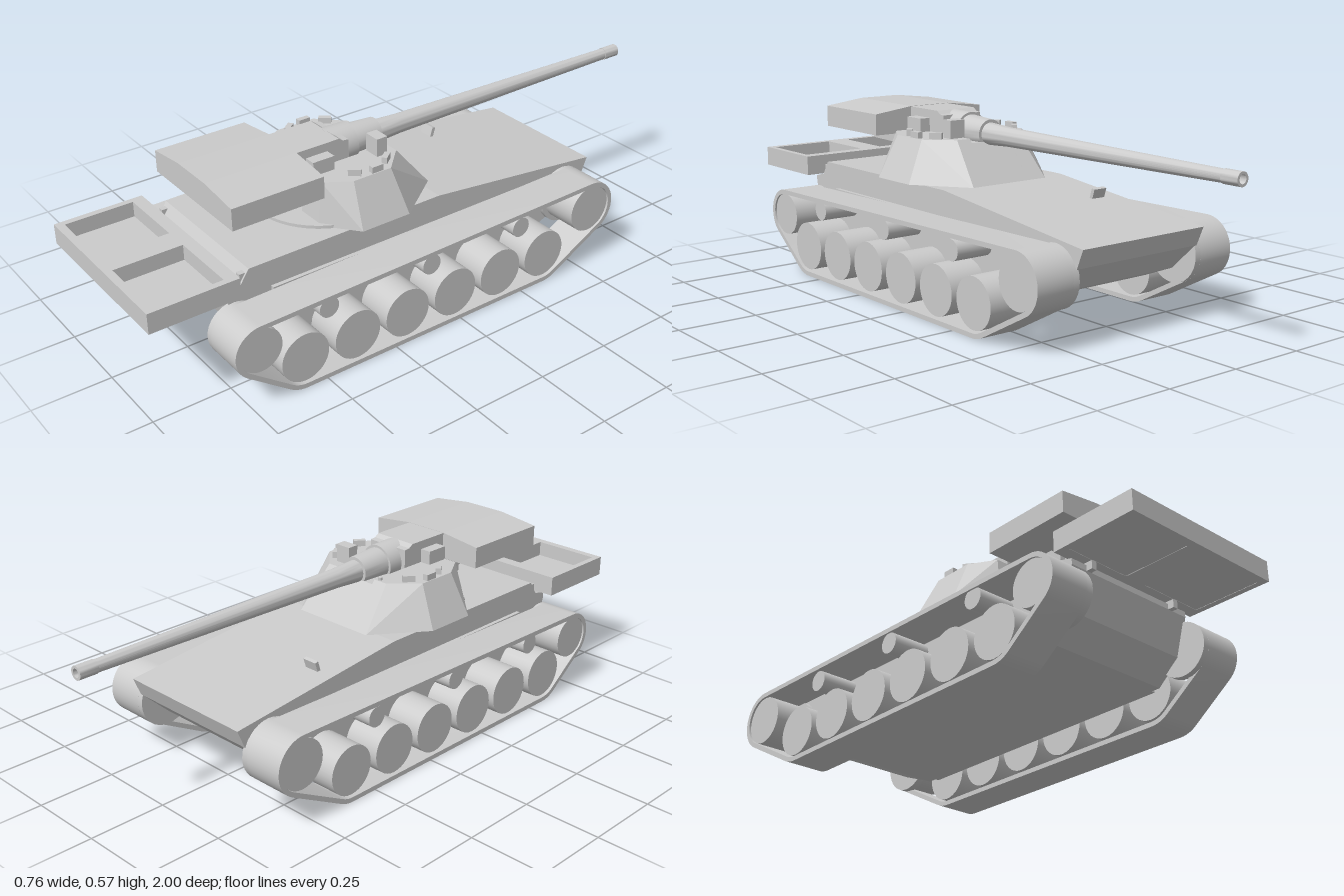
import * as THREE from 'three';
import { toCreasedNormals } from 'three/addons/utils/BufferGeometryUtils.js';
import { ConvexGeometry } from 'three/addons/geometries/ConvexGeometry.js';

const material = new THREE.MeshStandardMaterial({ color: 0xcccccc });

function add(parent, name, geometry, x = 0, y = 0, z = 0) {
  const mesh = new THREE.Mesh(geometry, material);
  mesh.name = name;
  mesh.position.set(x, y, z);
  parent.add(mesh);
  return mesh;
}

const box = (w, h, d) => new THREE.BoxGeometry(w, h, d);
const toVectors = (pts) => pts.map(([a, b]) => new THREE.Vector2(a, b));

// Extrudes a side profile of [z, y] points across x0..x1
function acrossX(shape, x0, x1) {
  const g = new THREE.ExtrudeGeometry(shape, { depth: x1 - x0, bevelEnabled: false });
  return g.rotateY(-Math.PI / 2).translate(x1, 0, 0);
}
const sideProfile = (pts, x0, x1) => acrossX(new THREE.Shape(toVectors(pts)), x0, x1);

// Cylinder lying along x
const disc = (r, width, n = 32) => new THREE.CylinderGeometry(r, r, width, n).rotateZ(Math.PI / 2);

// Solid between a bottom ring and a top ring of [x, z] points
function frustum(bottom, y0, top, y1, side = 1) {
  return new ConvexGeometry([
    ...bottom.map(([x, z]) => new THREE.Vector3(x * side, y0, z)),
    ...top.map(([x, z]) => new THREE.Vector3(x * side, y1, z)),
  ]);
}

// Outline of a belt wrapped round circles [z, y, r] listed counterclockwise
function beltOutline(circles, inset) {
  const n = circles.length;
  const leave = circles.map(([z, y, r], i) => {
    const [z2, y2, r2] = circles[(i + 1) % n];
    const d = Math.hypot(z2 - z, y2 - y);
    return Math.atan2(y2 - y, z2 - z) - Math.acos((r - r2) / d);
  });
  const pts = [];
  circles.forEach(([z, y, r], i) => {
    const a0 = leave[(i + n - 1) % n];
    let sweep = (leave[i] - a0) % (2 * Math.PI);
    if (sweep < 0) sweep += 2 * Math.PI;
    const steps = Math.max(3, Math.ceil(sweep / 0.13));
    for (let k = 0; k <= steps; k++) {
      const a = a0 + (sweep * k) / steps;
      pts.push(new THREE.Vector2(z + (r - inset) * Math.cos(a), y + (r - inset) * Math.sin(a)));
    }
  });
  return pts;
}

function buildRunningGear(side) {
  const gear = new THREE.Group();
  gear.name = side > 0 ? 'leftRunningGear' : 'rightRunningGear';
  const circles = [[-0.345, 0.1, 0.1], [0.57, 0.1, 0.1], [0.715, 0.19, 0.085], [-0.54, 0.2, 0.095]];
  const shape = new THREE.Shape(beltOutline(circles, 0));
  shape.holes.push(new THREE.Path(beltOutline(circles, 0.015)));
  const [x0, x1] = side > 0 ? [0.25, 0.38] : [-0.38, -0.25];
  add(gear, 'track', toCreasedNormals(acrossX(shape, x0, x1), 0.5));

  const x = side * 0.312;
  for (let i = 0; i < 6; i++) add(gear, 'roadWheel', disc(0.08, 0.124), x, 0.102, 0.57 - i * 0.183);
  for (const z of [0.485, 0.115, -0.24]) add(gear, 'returnRoller', disc(0.033, 0.124, 24), x, 0.238, z);
  add(gear, 'rearSprocket', disc(0.07, 0.124), x, 0.19, 0.715);
  add(gear, 'frontIdler', disc(0.079, 0.124), x, 0.2, -0.54);
  // Axle drums joining the end wheels to the hull
  add(gear, 'rearDrum', disc(0.085, 0.025), side * 0.242, 0.19, 0.715);
  add(gear, 'frontDrum', disc(0.095, 0.025), side * 0.242, 0.2, -0.54);
  return gear;
}

function buildHull() {
  const hull = new THREE.Group();
  hull.name = 'hull';
  add(hull, 'hullBody', sideProfile([
    [-0.42, 0.102], [0.62, 0.102], [0.7, 0.17], [0.735, 0.29], [0.735, 0.308], [0.69, 0.32],
    [0.66, 0.365], [-0.02, 0.365], [-0.655, 0.295], [-0.63, 0.235], [-0.54, 0.15],
  ], -0.237, 0.237));
  // Lower side walls between the tracks
  for (const s of [-1, 1]) {
    add(hull, 'sideWall', box(0.014, 0.18, 0.98), s * 0.243, 0.192, 0.1);
    add(hull, 'basketBracket', box(0.018, 0.03, 0.04), s * 0.17, 0.305, 0.735);
    add(hull, 'deckTab', box(0.018, 0.025, 0.035), s * 0.222, 0.34, 0.67);
  }
  add(hull, 'turretRing', new THREE.CylinderGeometry(0.222, 0.222, 0.014, 48), 0, 0.368, 0.25);
  add(hull, 'driverPeriscope', box(0.05, 0.035, 0.012), -0.155, 0.35, -0.29).rotation.x = -0.3;

  // Stowage basket with two open trays
  const frame = new THREE.Shape(toVectors([[-0.285, -1], [0.285, -1], [0.285, -0.715], [-0.285, -0.715]]));
  for (const s of [-1, 1]) {
    frame.holes.push(new THREE.Path(toVectors([
      [s * 0.04, -0.975], [s * 0.265, -0.975], [s * 0.265, -0.755], [s * 0.04, -0.755],
    ])));
  }
  const frameGeometry = new THREE.ExtrudeGeometry(frame, { depth: 0.065, bevelEnabled: false });
  add(hull, 'basketFrame', frameGeometry.rotateX(-Math.PI / 2), 0, 0.316, 0);
  add(hull, 'basketFloor', box(0.56, 0.014, 0.275), 0, 0.324, 0.8575);
  return hull;
}

function buildTurret() {
  const turret = new THREE.Group();
  turret.name = 'turret';
  const base = [[0.075, -0.05], [0.145, -0.05], [0.27, 0.12], [0.27, 0.29], [0.165, 0.375], [0.075, 0.375]];
  const roof = [[0.075, 0.06], [0.125, 0.06], [0.205, 0.14], [0.205, 0.275], [0.155, 0.355], [0.075, 0.355]];
  for (const s of [-1, 1]) {
    add(turret, 'turretCheek', frustum(base, 0.366, roof, 0.5, s));
    add(turret, 'roofBlock', box(0.04, 0.045, 0.075), s * 0.092, 0.522, 0.315);
    // Periscopes around the roof edge: x, z, turn
    for (const [x, z, turn] of [[0.16, 0.125, 0.9], [0.193, 0.185, 1.57], [0.175, 0.25, -0.9]]) {
      add(turret, 'periscope', box(0.04, 0.022, 0.018), s * x, 0.509, z).rotation.y = -s * turn;
    }
  }
  add(turret, 'frontPlate', frustum(
    [[-0.076, -0.05], [0.076, -0.05], [0.076, 0.3], [-0.076, 0.3]], 0.366,
    [[-0.076, 0.05], [0.076, 0.05], [0.076, 0.3], [-0.076, 0.3]], 0.487));
  add(turret, 'sightBox', box(0.055, 0.06, 0.038), 0.098, 0.528, 0.113);
  add(turret, 'roofPeg', new THREE.CylinderGeometry(0.007, 0.007, 0.015, 12), -0.09, 0.502, 0.07);

  // Rocking upper body: narrow cradle with a stepped belly
  add(turret, 'cradle', sideProfile([
    [0.2, 0.4], [0.385, 0.403], [0.47, 0.42], [0.47, 0.44], [0.605, 0.443], [0.688, 0.487],
    [0.688, 0.56], [0.39, 0.572], [0.235, 0.572], [0.22, 0.562], [0.2, 0.56],
  ], -0.075, 0.075));
  // Wide bustle with a shallow crowned roof
  const bustle = new THREE.Shape(toVectors([
    [-0.215, 0.486], [0.215, 0.486], [0.215, 0.556], [0.075, 0.573], [-0.075, 0.573], [-0.215, 0.556],
  ]));
  add(turret, 'bustle', new THREE.ExtrudeGeometry(bustle, { depth: 0.305, bevelEnabled: false }), 0, 0, 0.385);
  return turret;
}

function buildGun() {
  const gun = new THREE.Group();
  gun.name = 'gun';
  gun.position.y = 0.511;
  // Stepped, tapering tube: radius, distance towards the muzzle
  const tube = [[0, -0.2], [0.036, -0.2], [0.036, -0.05], [0.031, 0.04], [0.019, 0.94], [0.021, 0.94],
    [0.021, 1], [0.013, 1], [0.013, 0.95], [0, 0.95]];
  const tubeGeometry = new THREE.LatheGeometry(toVectors(tube), 32).rotateX(-Math.PI / 2);
  add(gun, 'barrel', toCreasedNormals(tubeGeometry, 0.5));
  const sleeve = [[0, -0.24], [0.062, -0.24], [0.06, -0.15], [0.052, -0.15], [0.046, -0.05], [0, -0.05]];
  const sleeveGeometry = new THREE.LatheGeometry(toVectors(sleeve), 32).rotateX(-Math.PI / 2);
  add(gun, 'mantletSleeve', toCreasedNormals(sleeveGeometry, 0.5));
  return gun;
}

export function createModel() {
  const model = new THREE.Group();
  model.name = 'tank';
  model.add(buildHull(), buildTurret(), buildGun(), buildRunningGear(1), buildRunningGear(-1));
  return model;
}
